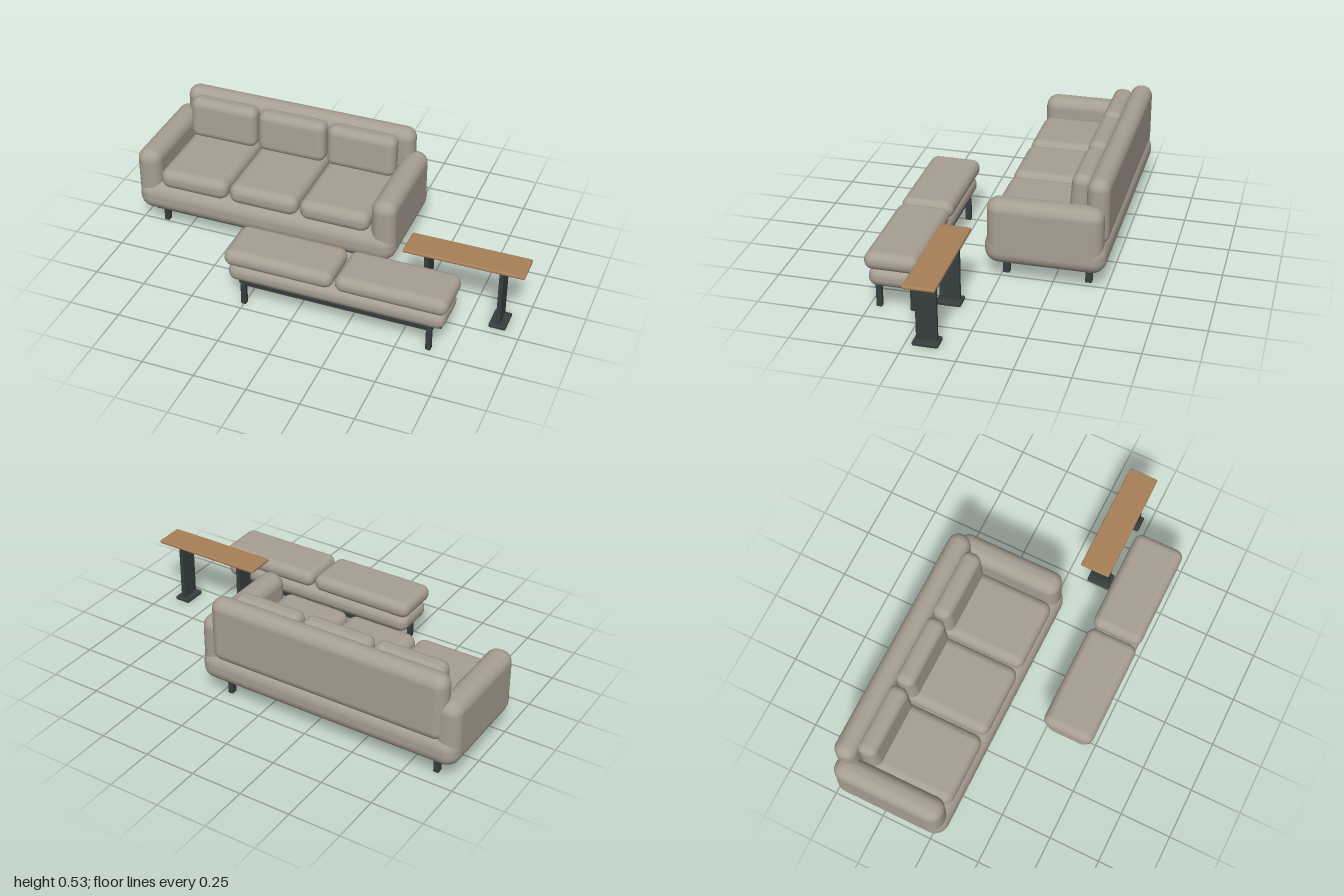
import * as THREE from 'three';
import { RoundedBoxGeometry } from 'three/addons/geometries/RoundedBoxGeometry.js';

export function createModel() {
  const material = (name, color) => {
    const m = new THREE.MeshStandardMaterial({ color });
    m.name = name;
    return m;
  };
  const fabric = material('warm grey fabric', 0xa89f93);
  const metal = material('dark metal', 0x373f3f);
  const wood = material('oak wood', 0xa88058);

  const model = new THREE.Group();
  const group = (name) => {
    const g = new THREE.Group();
    g.name = name;
    model.add(g);
    return g;
  };
  // Rounded block given by its extents on each axis
  const block = (parent, name, mat, [x0, x1], [y0, y1], [z0, z1], r, segments = 5) => {
    const mesh = new THREE.Mesh(new RoundedBoxGeometry(x1 - x0, y1 - y0, z1 - z0, segments, r), mat);
    mesh.position.set((x0 + x1) / 2, (y0 + y1) / 2, (z0 + z1) / 2);
    mesh.name = name;
    parent.add(mesh);
    return mesh;
  };
  // Four square legs
  const legs = (parent, name, xs, zs, top, w, d) => {
    for (const x of xs) for (const z of zs)
      block(parent, name, metal, [x - w / 2, x + w / 2], [0, top], [z - d / 2, z + d / 2], 0.004, 2);
  };

  // Sofa body
  const sofa = group('sofa');
  block(sofa, 'sofaBase', fabric, [-1, 0.33], [0.088, 0.245], [-0.5, 0.068], 0.068);
  block(sofa, 'sofaUnderframe', metal, [-0.92, 0.25], [0.08, 0.095], [-0.45, 0.02], 0.004, 2);
  block(sofa, 'sofaBack', fabric, [-0.935, 0.265], [0.21, 0.535], [-0.5, -0.393], 0.052);
  for (const x of [-1, 0.208])
    block(sofa, 'sofaArm', fabric, [x, x + 0.122], [0.11, 0.415], [-0.485, 0.055], 0.055);
  legs(sofa, 'sofaLeg', [-0.88, 0.21], [-0.02, -0.41], 0.09, 0.026, 0.032);

  // Seat and back cushions
  for (let i = 0; i < 3; i++) {
    const x = [-0.877 + i * 0.363, -0.525 + i * 0.363];
    block(sofa, 'seatCushion', fabric, x, [0.225, 0.328], [-0.42, 0.052], 0.045);
    const cushion = block(sofa, 'backCushion', fabric, x, [0.315, 0.525], [-0.405, -0.308], 0.04);
    cushion.rotation.x = -0.07;
  }

  // Bench with two cushions
  const bench = group('bench');
  block(bench, 'benchBase', fabric, [-0.322, 0.717], [0.13, 0.222], [0.263, 0.487], 0.042);
  for (const x of [-0.335, 0.203])
    block(bench, 'benchCushion', fabric, [x, x + 0.527], [0.218, 0.302], [0.25, 0.5], 0.04);
  block(bench, 'benchPlate', metal, [-0.27, 0.665], [0.118, 0.134], [0.285, 0.465], 0.004, 2);
  block(bench, 'benchRail', metal, [-0.25, 0.645], [0.105, 0.12], [0.288, 0.462], 0.003, 2);
  legs(bench, 'benchLeg', [-0.25, 0.645], [0.295, 0.455], 0.12, 0.025, 0.027);

  // Narrow side table
  const table = group('sideTable');
  block(table, 'tableTop', wood, [0.433, 1], [0.318, 0.335], [0.084, 0.23], 0.007, 3);
  block(table, 'tableUnderplate', metal, [0.455, 0.978], [0.308, 0.32], [0.101, 0.214], 0.004, 2);
  for (const x of [0.54, 0.89]) {
    block(table, 'tableColumn', metal, [x - 0.01, x + 0.01], [0.01, 0.312], [0.11, 0.206], 0.003, 2);
    block(table, 'tableFoot', metal, [x - 0.04, x + 0.04], [0, 0.02], [0.099, 0.217], 0.007, 3);
  }
  return model;
}
